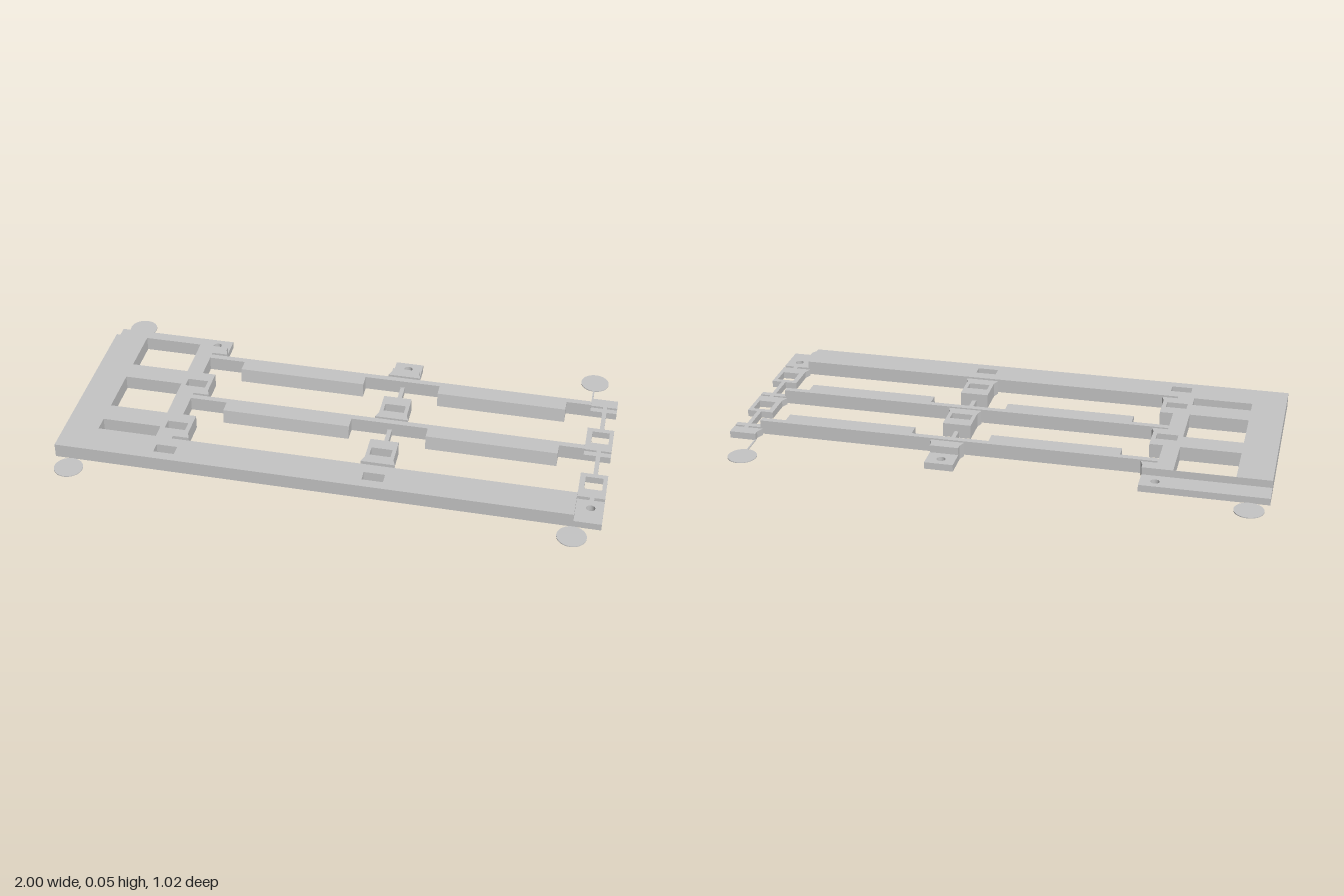
import * as THREE from 'three';

const FULL = 0.054, LOW = 0.026, FILM = 0.003;

export function createModel() {
  const model = new THREE.Group();
  model.name = 'slottedFrame';
  const grey = new THREE.MeshStandardMaterial({ color: 0xc5c5c5 });
  grey.name = 'plain grey';

  const add = (name, geometry) => {
    const mesh = new THREE.Mesh(geometry, grey);
    mesh.name = name;
    model.add(mesh);
    return mesh;
  };

  // Flat plate standing on y = 0, outlined by [x, z] corners; holes wind the other way
  const plate = (name, corners, height, holes = []) => {
    const shape = new THREE.Shape(corners.map(([x, z]) => new THREE.Vector2(x, -z)));
    shape.holes = holes;
    const geometry = new THREE.ExtrudeGeometry(shape, { depth: height, bevelEnabled: false, curveSegments: 12 });
    return add(name, geometry.rotateX(-Math.PI / 2));
  };
  const rect = (x0, x1, z0, z1) => [[x0, z0], [x1, z0], [x1, z1], [x0, z1]];
  const windowHole = (x0, x1, z0, z1) =>
    new THREE.Path(rect(x0, x1, z0, z1).reverse().map(([x, z]) => new THREE.Vector2(x, -z)));
  const roundHole = (x, z) => new THREE.Path().absarc(x, -z, 0.016, 0, Math.PI * 2, false);
  const slot = (x, z) => windowHole(x - 0.039, x + 0.039, z - 0.021, z + 0.021);

  const COL = -0.595, MID = 0.179, END = 0.954;
  const SLOTS = [-0.071, 0.2, 0.345];
  // z start and end of the three rows of joint blocks
  const ROWS = [[-0.325, -0.279], [-0.14, -0.008], [0.13, 0.264]];

  // Main frame: left border, cross bars, slotted column and front rail
  const edge = [[-1, ROWS[0][0]]];
  ROWS.forEach(([z0, z1], i) => {
    if (i > 0) edge.push([-0.59, z0]);
    edge.push([-0.54, z0], [-0.54, z1 - 0.027], [-0.53, z1], [-0.59, z1]);
  });
  edge.push([-0.59, 0.279], [0.901, 0.279], [0.901, 0.403], [-1, 0.403]);
  plate('mainFrame', edge, FULL, [
    windowHole(-0.873, -0.652, -0.324, -0.14),
    windowHole(-0.873, -0.652, -0.056, 0.132),
    windowHole(-0.873, -0.652, 0.218, 0.277),
    ...SLOTS.map((z) => slot(COL, z)),
    slot(MID, SLOTS[2]),
  ]);

  // Low shelves with screw holes
  plate('backShelf', rect(-1, -0.54, -0.405, -0.325), LOW, [roundHole(COL, -0.368)]);
  plate('middleTab', rect(0.126, 0.232, -0.405, -0.325), LOW, [roundHole(MID, -0.368)]);
  plate('frontRailTab', rect(0.901, 1, 0.279, 0.403), LOW, [roundHole(END, 0.322)]);

  // Joint blocks with flared feet, in the middle and at the right end
  ROWS.forEach(([z0, z1], i) => {
    plate('middleBlock', [
      [0.126, z0], [0.232, z0], [0.232, z1 - 0.027], [0.242, z1], [0.116, z1], [0.126, z1 - 0.027],
    ], FULL, i ? [slot(MID, SLOTS[i - 1])] : []);
    plate('endBlock', [
      [0.901, z0], [1, z0], [1, z1], [0.89, z1], [0.901, z1 - 0.027],
    ], LOW, i ? [windowHole(0.921, 0.985, z0 + 0.02, z0 + 0.088)] : []);
  });

  // Long rails: a thin strip with two wider bars that lean slightly outwards
  for (const z of [-0.268, 0.002]) {
    plate('railStrip', rect(-0.59, 0.901, z, z + 0.023), FULL);
    plate('railEnd', rect(0.901, 1, z, z + 0.023), LOW);
    for (const [x0, x1] of [[-0.45, 0.033], [0.322, 0.809]]) {
      const profile = new THREE.Shape([[0, 0], [0, FULL], [0.072, FULL], [0.078, 0]]
        .map(([d, y]) => new THREE.Vector2(-d, y)));
      const bar = new THREE.ExtrudeGeometry(profile, { depth: x1 - x0, bevelEnabled: false });
      add('railBar', bar.rotateY(Math.PI / 2)).position.set(x0, 0, z);
    }
  }

  // Narrow links that join blocks, rails and frame
  for (const x of [MID, END]) {
    for (const [z0, z1] of [[-0.285, -0.13], [-0.02, 0.14], [0.255, 0.285]]) {
      plate('link', rect(x - 0.008, x + 0.008, z0, z1), LOW);
    }
  }

  // Thin corner discs and the stem to the far one
  for (const x of [-0.932, 0.902]) {
    for (const z of [-0.459, 0.458]) {
      add('cornerDisc', new THREE.CylinderGeometry(0.053, 0.053, FILM, 40)).position.set(x, FILM / 2, z);
    }
  }
  plate('discStem', rect(0.899, 0.905, -0.42, -0.32), FILM);

  return model;
}
